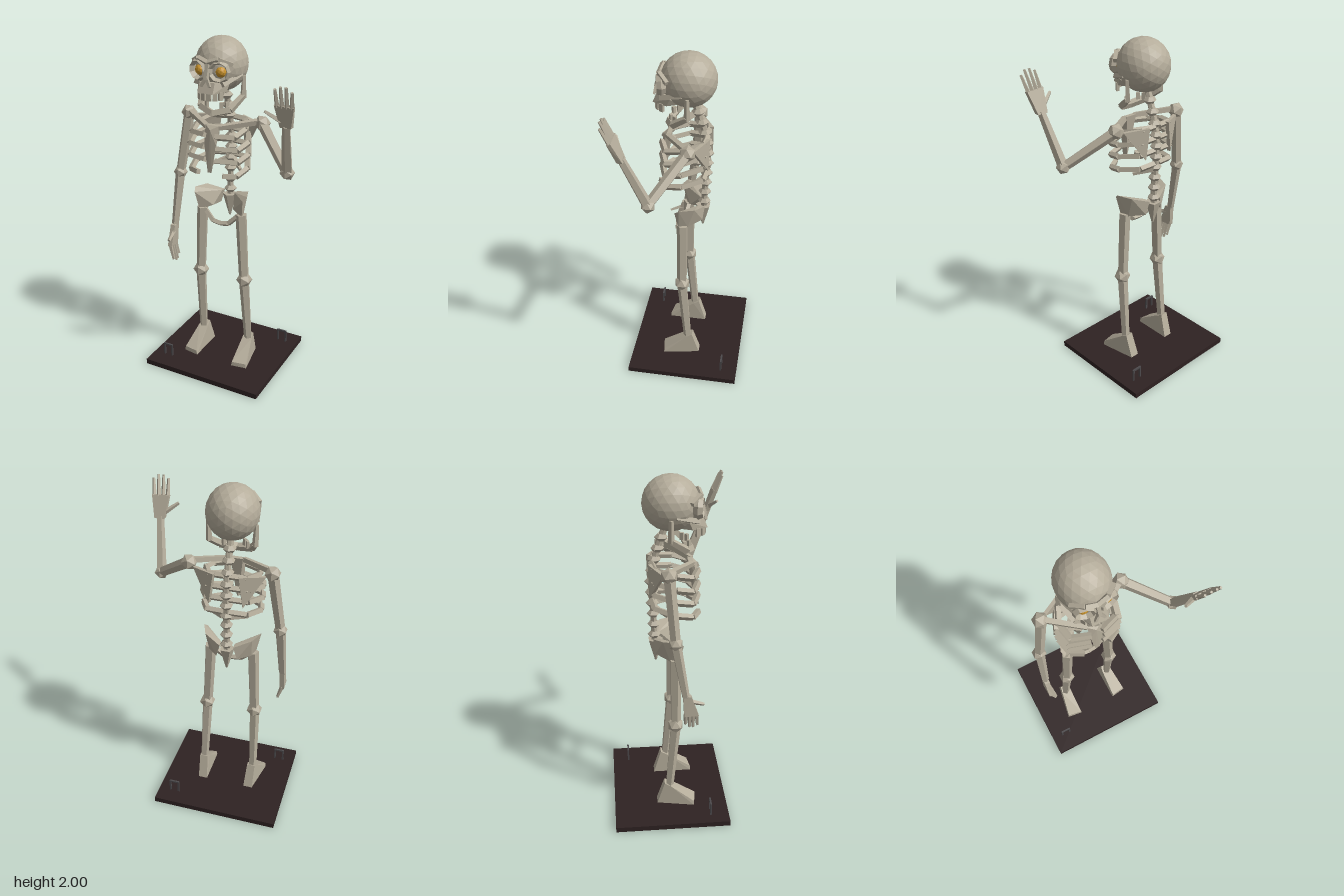
import * as THREE from 'three';
import { ConvexGeometry } from 'three/addons/geometries/ConvexGeometry.js';

const material = (name, color) => {
  const m = new THREE.MeshStandardMaterial({ color });
  m.name = name;
  return m;
};
const V = (p) => new THREE.Vector3(...p);

export function createModel() {
  const bone = material('bone', 0xb5ad9b);
  const amber = material('amber eye', 0xc8922c);
  const plinth = material('dark plinth', 0x2e2222);
  const metal = material('dark metal', 0x4c4a4c);

  const model = new THREE.Group();
  model.name = 'skeletonFigure';
  const group = (name, parent = model, x = 0) => {
    const g = new THREE.Group();
    g.name = name;
    g.position.x = x;
    parent.add(g);
    return g;
  };

  // Faceted mesh: every triangle gets its own normal
  const add = (parent, name, geo, mat = bone) => {
    const flat = geo.index ? geo.toNonIndexed() : geo;
    flat.computeVertexNormals();
    const mesh = new THREE.Mesh(flat, mat);
    mesh.name = name;
    parent.add(mesh);
    return mesh;
  };
  // Tapered prism between two points
  const bar = (parent, name, a, b, r1, r2 = r1, sides = 5, mat = bone) => {
    const A = V(a), d = V(b).sub(A);
    const mesh = add(parent, name, new THREE.CylinderGeometry(r2, r1, d.length(), sides), mat);
    mesh.position.copy(A).addScaledVector(d, 0.5);
    mesh.quaternion.setFromUnitVectors(new THREE.Vector3(0, 1, 0), d.normalize());
    return mesh;
  };
  const chain = (parent, name, pts, r, sides = 4) => {
    for (let i = 1; i < pts.length; i++) bar(parent, name, pts[i - 1], pts[i], r, r, sides);
  };
  const hull = (parent, name, pts, mat) => add(parent, name, new ConvexGeometry(pts.map(V)), mat);
  const ball = (parent, name, p, r, detail = 0, mat = bone) => {
    const mesh = add(parent, name, new THREE.IcosahedronGeometry(r, detail), mat);
    mesh.position.set(...p);
    return mesh;
  };
  const box = (parent, name, p, size, mat) => {
    const mesh = add(parent, name, new THREE.BoxGeometry(...size), mat);
    mesh.position.set(...p);
    return mesh;
  };

  // Plinth with two wire staples
  box(model, 'base', [-0.0925, 0.016, -0.01], [0.755, 0.032, 0.67], plinth);
  for (const [x, z] of [[-0.375, 0.218], [0.188, -0.248]]) {
    const staple = group('staple');
    for (const s of [-1, 1]) box(staple, 'staplePost', [x + s * 0.026, 0.068, z], [0.01, 0.076, 0.01], metal);
    box(staple, 'stapleTop', [x, 0.105, z], [0.062, 0.01, 0.01], metal);
  }

  const body = group('body', model, -0.095);

  // Skull
  const skull = group('skull', body);
  ball(skull, 'cranium', [0, 1.853, 0.003], 1, 3).scale.set(0.141, 0.147, 0.15);
  hull(skull, 'upperJaw', [-1, 1].flatMap((s) => [
    [s * 0.045, 1.785, 0.165], [s * 0.045, 1.73, 0.19], [s * 0.095, 1.775, 0.09],
    [s * 0.083, 1.73, 0.11], [s * 0.05, 1.73, 0.04]]));
  bar(skull, 'noseBridge', [0, 1.88, 0.152], [0, 1.8, 0.178], 0.018, 0.014);
  for (const s of [-1, 1]) {
    const rim = add(skull, 'eyeSocket', new THREE.TorusGeometry(0.05, 0.012, 4, 9));
    rim.position.set(s * 0.06, 1.842, 0.142);
    rim.rotation.y = s * 0.25;
    rim.scale.z = 2;
    ball(skull, 'eye', [s * 0.061, 1.838, 0.125], 0.03, 1, amber);
    chain(skull, 'brow', [[0, 1.885, 0.158], [s * 0.06, 1.905, 0.15], [s * 0.115, 1.875, 0.1]], 0.015);
    bar(skull, 'nose', [0, 1.815, 0.175], [s * 0.026, 1.765, 0.185], 0.012, 0.009, 4);
    bar(skull, 'cheekbone', [s * 0.075, 1.775, 0.14], [s * 0.128, 1.812, 0.02], 0.02, 0.012, 4);
    // Lower jaw half
    bar(skull, 'jawBranch', [s * 0.128, 1.8, -0.005], [s * 0.124, 1.68, -0.005], 0.012, 0.018, 4);
    bar(skull, 'jawSide', [s * 0.125, 1.69, -0.005], [s * 0.088, 1.625, 0.08], 0.018, 0.022, 4);
    bar(skull, 'chin', [s * 0.09, 1.625, 0.078], [0, 1.603, 0.112], 0.022, 0.022, 4);
  }
  for (let i = 0; i < 6; i++) {
    const a = (i - 2.5) * 0.42;
    const upper = box(skull, 'upperTooth', [Math.sin(a) * 0.075, 1.713, 0.1 + Math.cos(a) * 0.078], [0.025, 0.046, 0.016]);
    upper.rotation.y = a;
    if (i === 2 || i === 3) continue;
    const lower = box(skull, 'lowerTooth', [Math.sin(a) * 0.075, 1.645, 0.03 + Math.cos(a) * 0.078], [0.02, 0.04, 0.014]);
    lower.rotation.y = a;
  }

  // Spine: stacked vertebrae on a curved core
  const spine = group('spine', body);
  const core = [[0, 1.03, -0.085], [0, 1.2, -0.09], [0, 1.45, -0.1], [0, 1.58, -0.075], [0, 1.73, -0.025]];
  const spineCurve = new THREE.CatmullRomCurve3(core.map(V));
  add(spine, 'spineCore', new THREE.TubeGeometry(spineCurve, 12, 0.019, 6));
  const disc = [[0, -0.02], [0.02, -0.02], [0.037, 0], [0.02, 0.02], [0, 0.02]].map((p) => new THREE.Vector2(...p));
  for (let i = 0; i < 10; i++) {
    const v = add(spine, 'vertebra', new THREE.LatheGeometry(disc, 6));
    v.position.copy(spineCurve.getPointAt(0.1 + i * 0.09));
  }
  bar(spine, 'sacrum', [0, 0.935, -0.08], [0, 1.07, -0.082], 0.006, 0.045);

  // Rib cage
  const chest = group('ribCage', body);
  hull(chest, 'sternum', [
    [-0.04, 1.54, 0.12], [0.04, 1.54, 0.12], [-0.035, 1.54, 0.095], [0.035, 1.54, 0.095],
    [0, 1.52, 0.145], [-0.036, 1.44, 0.145], [0.036, 1.44, 0.145],
    [-0.012, 1.28, 0.155], [0.012, 1.28, 0.155], [0, 1.28, 0.135]]);
  for (const s of [-1, 1]) {
    [[1.495, 0.15, 0.03], [1.425, 0.17, 0.035], [1.355, 0.17, 0.03], [1.275, 0.163, 0.075]].forEach(([y, w, end]) => {
      chain(chest, 'rib', [[s * 0.015, y + 0.04, -0.1], [s * w * 0.68, y + 0.035, -0.09],
        [s * w, y + 0.012, 0.02], [s * w * 0.87, y - 0.01, 0.11], [s * end, y - 0.005, 0.148]], 0.018);
    });
    bar(chest, 'floatingRib', [s * 0.02, 1.285, -0.095], [s * 0.1, 1.255, -0.02], 0.018, 0.01, 4);
    bar(chest, 'collarbone', [s * 0.035, 1.53, 0.115], [s * 0.215, 1.555, -0.015], 0.017, 0.02, 4);
    const blade = [[0.07, 1.545, -0.122], [0.2, 1.535, -0.055], [0.095, 1.365, -0.118]];
    hull(chest, 'shoulderBlade', blade.flatMap(([x, y, z]) => [[s * x, y, z], [s * (x - 0.008), y, z + 0.018]]));
  }

  // Pelvis
  const pelvis = group('pelvis', body);
  for (const s of [-1, 1]) {
    hull(pelvis, 'hipBone', [
      [s * 0.168, 1.122, 0.035], [s * 0.155, 1.1, 0.062], [s * 0.135, 1.118, -0.05],
      [s * 0.04, 1.085, -0.095], [s * 0.04, 1.09, -0.06],
      [s * 0.138, 0.985, 0.04], [s * 0.125, 0.99, -0.01], [s * 0.06, 1.005, -0.085], [s * 0.065, 1.015, 0.005]]);
    chain(pelvis, 'pubicArch', [[s * 0.115, 0.995, 0.02], [s * 0.05, 0.932, 0.035], [0, 0.925, 0.038]], 0.016);
  }

  // Legs and feet
  for (const s of [-1, 1]) {
    const leg = group(s > 0 ? 'leftLeg' : 'rightLeg', body);
    bar(leg, 'thighBone', [s * 0.126, 1.0, 0.02], [s * 0.146, 0.58, 0.02], 0.034, 0.03);
    ball(leg, 'knee', [s * 0.147, 0.58, 0.02], 0.048);
    bar(leg, 'shinBone', [s * 0.147, 0.58, 0.02], [s * 0.157, 0.16, -0.015], 0.032, 0.025);
    hull(leg, 'foot', [
      [s * 0.125, 0.16, -0.01], [s * 0.185, 0.16, -0.01], [s * 0.13, 0.178, -0.045], [s * 0.178, 0.178, -0.045],
      [s * 0.12, 0.03, -0.09], [s * 0.175, 0.03, -0.09],
      [s * 0.12, 0.03, 0.142], [s * 0.215, 0.03, 0.128],
      [s * 0.125, 0.058, 0.14], [s * 0.21, 0.058, 0.126]]);
  }

  // Arms: shoulder, elbow, wrist, then a palm with fingers and a thumb
  const arm = (name, shoulder, elbow, wrist, palm, roots, tips, thumb) => {
    const g = group(name);
    ball(g, 'shoulder', shoulder, 0.046);
    bar(g, 'upperArm', shoulder, elbow, 0.032, 0.028);
    ball(g, 'elbow', elbow, 0.041);
    bar(g, 'forearm', elbow, wrist, 0.03, 0.022);
    hull(g, 'palm', palm);
    roots.forEach((r, i) => bar(g, 'finger', r, tips[i], 0.013, 0.008, 4));
    bar(g, 'thumb', thumb[0], thumb[1], 0.015, 0.009, 4);
  };
  arm('leftArm', [0.135, 1.545, -0.025], [0.362, 1.357, 0.143], [0.4, 1.65, 0.26],
    [[0.37, 1.64, 0.272], [0.43, 1.64, 0.272], [0.37, 1.64, 0.242], [0.43, 1.64, 0.242],
      [0.353, 1.76, 0.31], [0.458, 1.755, 0.31], [0.355, 1.765, 0.29], [0.456, 1.76, 0.29]],
    [0.366, 0.392, 0.418, 0.444].map((x) => [x, 1.752, 0.299]),
    [[0.37, 1.848, 0.338], [0.4, 1.862, 0.342], [0.43, 1.862, 0.342], [0.458, 1.84, 0.336]],
    [[0.375, 1.672, 0.27], [0.302, 1.722, 0.304]]);
  arm('rightArm', [-0.323, 1.545, -0.025], [-0.375, 1.185, 0.005], [-0.39, 0.865, 0.06],
    [[-0.405, 0.875, 0.045], [-0.375, 0.875, 0.045], [-0.405, 0.87, 0.09], [-0.375, 0.87, 0.09],
      [-0.408, 0.745, 0.052], [-0.382, 0.745, 0.052], [-0.405, 0.745, 0.132], [-0.378, 0.745, 0.132]],
    [0.06, 0.08, 0.1, 0.12].map((z) => [-0.394, 0.755, z]),
    [[-0.37, 0.675, 0.062], [-0.366, 0.652, 0.085], [-0.364, 0.65, 0.105], [-0.368, 0.665, 0.128]],
    [[-0.39, 0.835, 0.08], [-0.375, 0.802, 0.163]]);

  return model;
}
